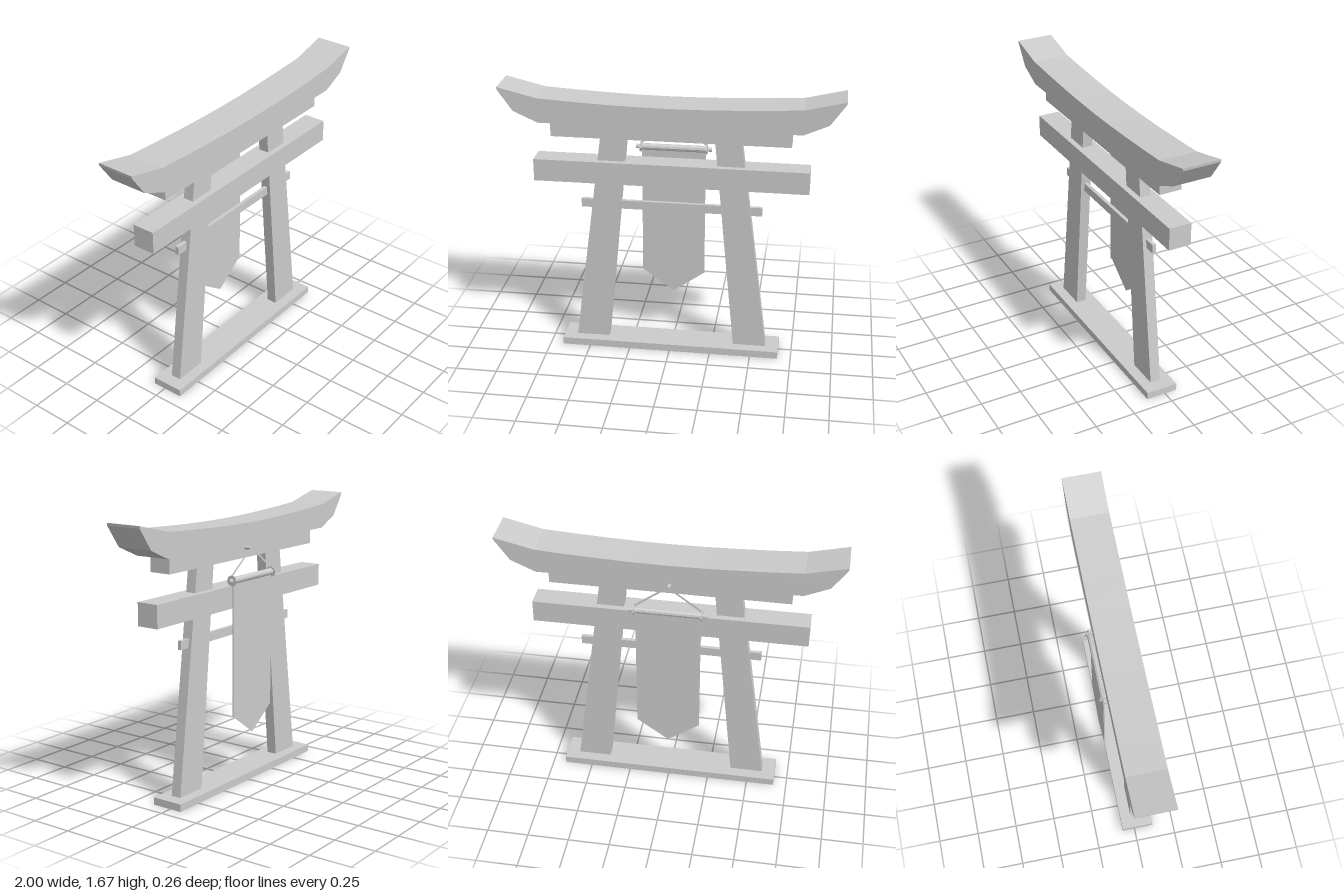
import * as THREE from 'three';

export function createModel() {
  const group = new THREE.Group();
  const material = new THREE.MeshStandardMaterial({ color: 0xcccccc, flatShading: true });
  const sheet = material.clone();
  sheet.side = THREE.DoubleSide;

  function add(name, geometry, mat = material) {
    const mesh = new THREE.Mesh(geometry, mat);
    mesh.name = name;
    group.add(mesh);
    return mesh;
  }
  // Box given by its extents
  function box(name, x0, x1, y0, y1, z0, z1) {
    add(name, new THREE.BoxGeometry(x1 - x0, y1 - y0, z1 - z0))
      .position.set((x0 + x1) / 2, (y0 + y1) / 2, (z0 + z1) / 2);
  }
  const outline = (points) => new THREE.Shape(points.map(([x, y]) => new THREE.Vector2(x, y)));
  // Front outline extruded from z0 to z1
  function slab(name, points, z0, z1) {
    const geometry = new THREE.ExtrudeGeometry(outline(points), { depth: z1 - z0, bevelEnabled: false });
    add(name, geometry.translate(0, 0, z0));
  }
  // Cylinder lying along x
  function rodX(name, radius, length, x, sides) {
    const geometry = new THREE.CylinderGeometry(radius, radius, length, sides).rotateZ(Math.PI / 2);
    add(name, geometry).position.set(x, 1.27, -0.096);
  }

  // Base and cross beams
  box('base', -0.67, 0.67, 0, 0.045, -0.077, 0.119);
  box('tieBar', -0.543, 0.543, 0.912, 0.965, 0.009, 0.031);
  box('lowerBeam', -0.815, 0.815, 1.09, 1.225, -0.048, 0.088);
  box('upperBeam', -0.703, 0.703, 1.375, 1.472, -0.048, 0.088);

  // Leaning, tapering legs
  for (const s of [-1, 1]) {
    slab(s > 0 ? 'leftLeg' : 'rightLeg',
      [[0.39, 0.045], [0.59, 0.045], [0.415, 1.375], [0.26, 1.375]].map(([x, y]) => [s * x, y]),
      -0.011, 0.053);
  }

  // Roof beam with upswept ends
  const half = [[0.765, 1.47], [0.91, 1.535], [0.998, 1.66], [1, 1.675],
    [0.765, 1.618], [0.58, 1.607], [0.38, 1.598], [0.19, 1.592]];
  const mirrored = half.map(([x, y]) => [-x, y]).reverse();
  slab('roofBeam', [...half, [0, 1.59], ...mirrored], -0.095, 0.131);

  // Hanging banner with a thin pointed tip
  box('banner', -0.193, 0.19, 0.45, 1.26, -0.1, -0.093);
  add('bannerTip', new THREE.ShapeGeometry(outline([[-0.193, 0.45], [-0.001, 0.312], [0.19, 0.45]])), sheet)
    .position.z = -0.1;

  // Banner rod, sleeve and end discs
  rodX('bannerRod', 0.013, 0.455, -0.001, 10);
  rodX('bannerSleeve', 0.02, 0.39, -0.001, 10);
  for (const x of [-0.199, 0.197]) rodX('rodDisc', 0.033, 0.008, x, 8);

  // Peg behind the upper beam, and the flat cord slung over it
  add('peg', new THREE.CylinderGeometry(0.011, 0.011, 0.047, 8).rotateX(Math.PI / 2))
    .position.set(0, 1.435, -0.07);
  for (const s of [-1, 1]) {
    add('cord', new THREE.ShapeGeometry(outline(
      [[0, 1.436], [0, 1.45], [s * 0.203, 1.3], [s * 0.195, 1.29]])), sheet).position.z = -0.094;
  }

  return group;
}
